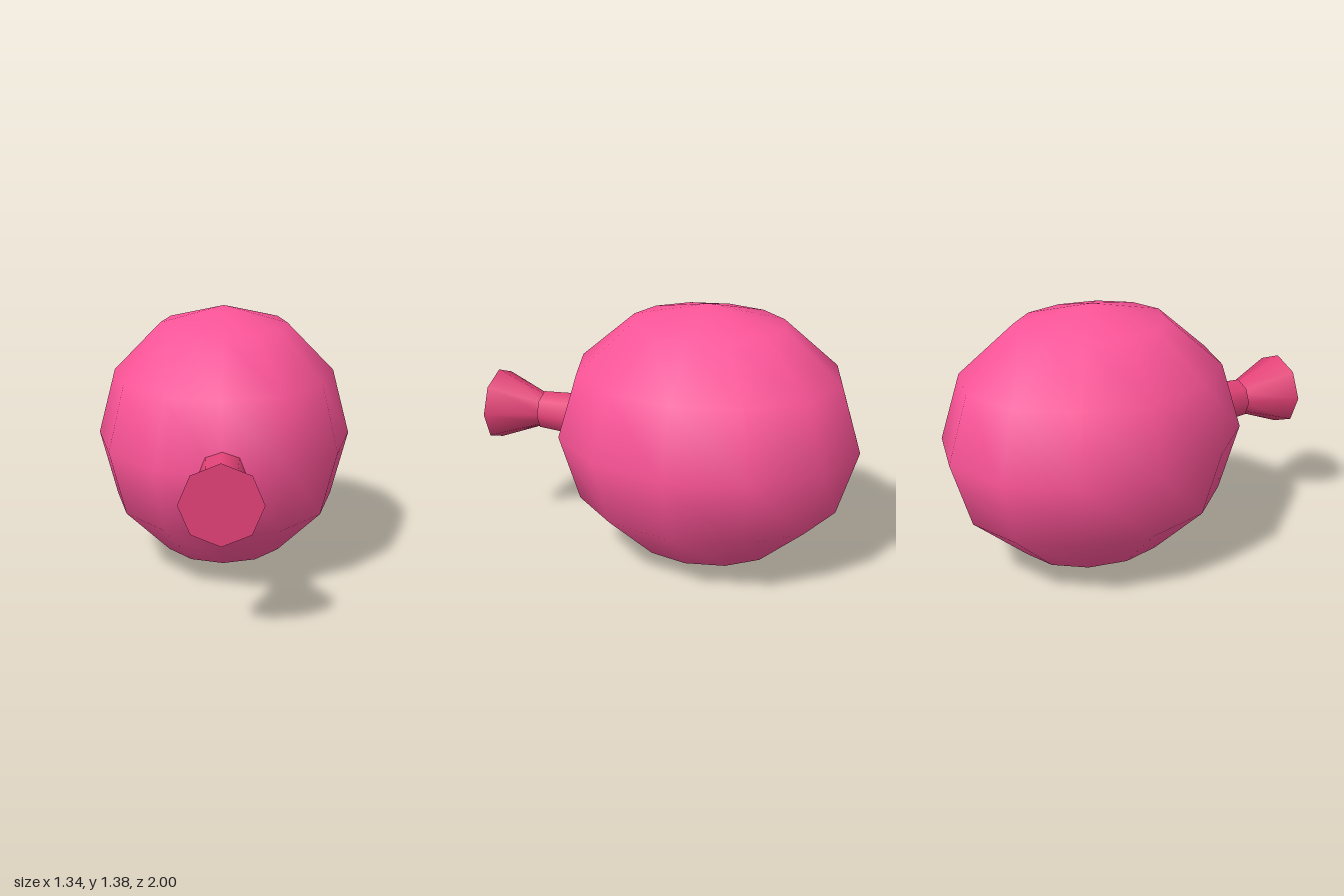
import * as THREE from 'three';

const CENTRE_Y = 0.69;

// Eight-sided tapered tube lying along z, from zBack to zFront
function taper(name, rBack, rFront, zBack, zFront, material) {
  const geometry = new THREE.CylinderGeometry(rFront, rBack, zFront - zBack, 8);
  geometry.rotateX(Math.PI / 2);
  const mesh = new THREE.Mesh(geometry, material);
  mesh.name = name;
  mesh.position.set(0, CENTRE_Y, (zBack + zFront) / 2);
  return mesh;
}

export function createModel() {
  const group = new THREE.Group();
  group.name = 'balloon';
  const pink = new THREE.MeshStandardMaterial({ color: 0xff5599 });
  const darkPink = new THREE.MeshStandardMaterial({ color: 0xe34277 });

  // Inflated body: coarse sphere stretched along z
  const body = new THREE.Mesh(new THREE.SphereGeometry(1, 12, 6), pink);
  body.name = 'balloonBody';
  body.scale.set(0.67, 0.69, 0.8);
  body.position.set(0, CENTRE_Y, -0.2);
  group.add(body);

  // Tied neck and flared mouth
  group.add(taper('knot', 0.118, 0.105, 0.53, 0.73, darkPink));
  group.add(taper('mouthFlare', 0.075, 0.196, 0.7, 1, darkPink));
  return group;
}
